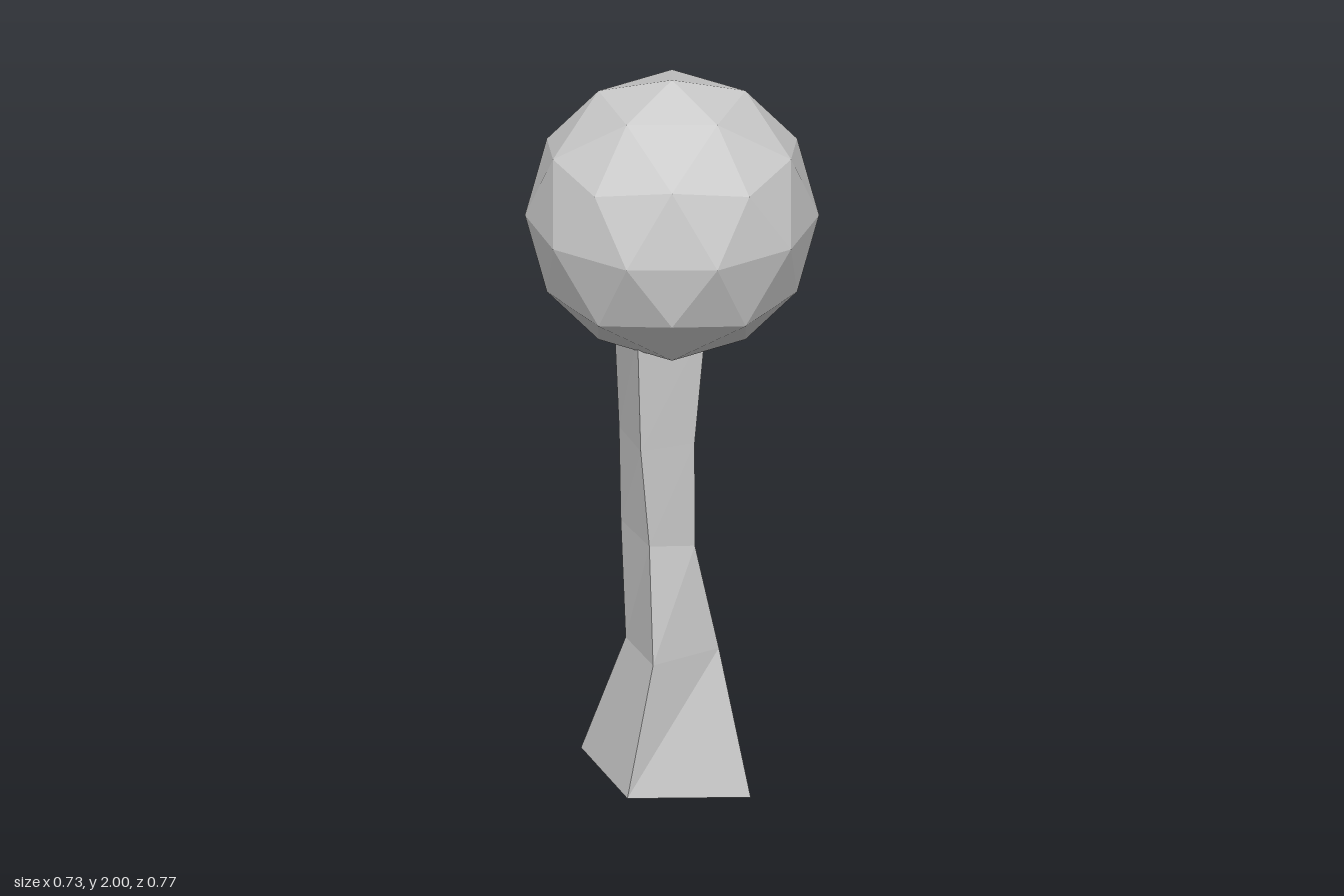
import * as THREE from 'three';

const grey = () => new THREE.MeshStandardMaterial({ color: 0xcccccc, flatShading: true });

// Trunk rings from the ground up; corners: front left, front right, back right, back left (as seen from the front)
const rings = [
  [[-0.18, 0.042, 0.175], [0.16, 0, 0.175], [0.192, 0.045, -0.177], [-0.195, 0.047, -0.172]],
  [[-0.1, 0.4, 0.147], [0.1, 0.4, 0.09], [0.086, 0.4, -0.105], [-0.11, 0.4, -0.055]],
  [[-0.095, 0.72, 0.1], [0.035, 0.7, 0.087], [0.06, 0.74, -0.08], [-0.125, 0.74, -0.05]],
  [[-0.122, 1, 0.11], [0.03, 1, 0.1], [0.04, 1, -0.065], [-0.125, 1, -0.065]],
  [[-0.134, 1.34, 0.12], [0.057, 1.34, 0.113], [0.068, 1.34, -0.09], [-0.13, 1.34, -0.097]],
];

// Four-sided loft through the rings, closed at both ends
function loft(sections) {
  const index = [];
  const n = sections[0].length;
  for (let r = 0; r < sections.length - 1; r++) {
    for (let i = 0; i < n; i++) {
      const a = r * n + i;
      const b = r * n + (i + 1) % n;
      index.push(a, b, b + n, a, b + n, a + n);
    }
  }
  const top = (sections.length - 1) * n;
  index.push(0, 2, 1, 0, 3, 2, top, top + 1, top + 2, top, top + 2, top + 3);
  const geometry = new THREE.BufferGeometry();
  geometry.setAttribute('position', new THREE.Float32BufferAttribute(sections.flat(2), 3));
  geometry.setIndex(index);
  const flat = geometry.toNonIndexed();
  flat.computeVertexNormals();
  return flat;
}

export function createModel() {
  const group = new THREE.Group();
  group.name = 'tree';

  // Crooked trunk, flaring at the foot
  const trunk = new THREE.Mesh(loft(rings), grey());
  trunk.name = 'trunk';
  group.add(trunk);

  // Faceted ball of leaves, turned so that one corner points straight up
  const ball = new THREE.IcosahedronGeometry(0.386, 1);
  ball.rotateX(-Math.atan2((1 + Math.sqrt(5)) / 2, 1));
  ball.rotateY(Math.PI / 2);
  const foliage = new THREE.Mesh(ball, grey());
  foliage.name = 'foliage';
  foliage.position.y = 1.614;
  group.add(foliage);

  return group;
}
